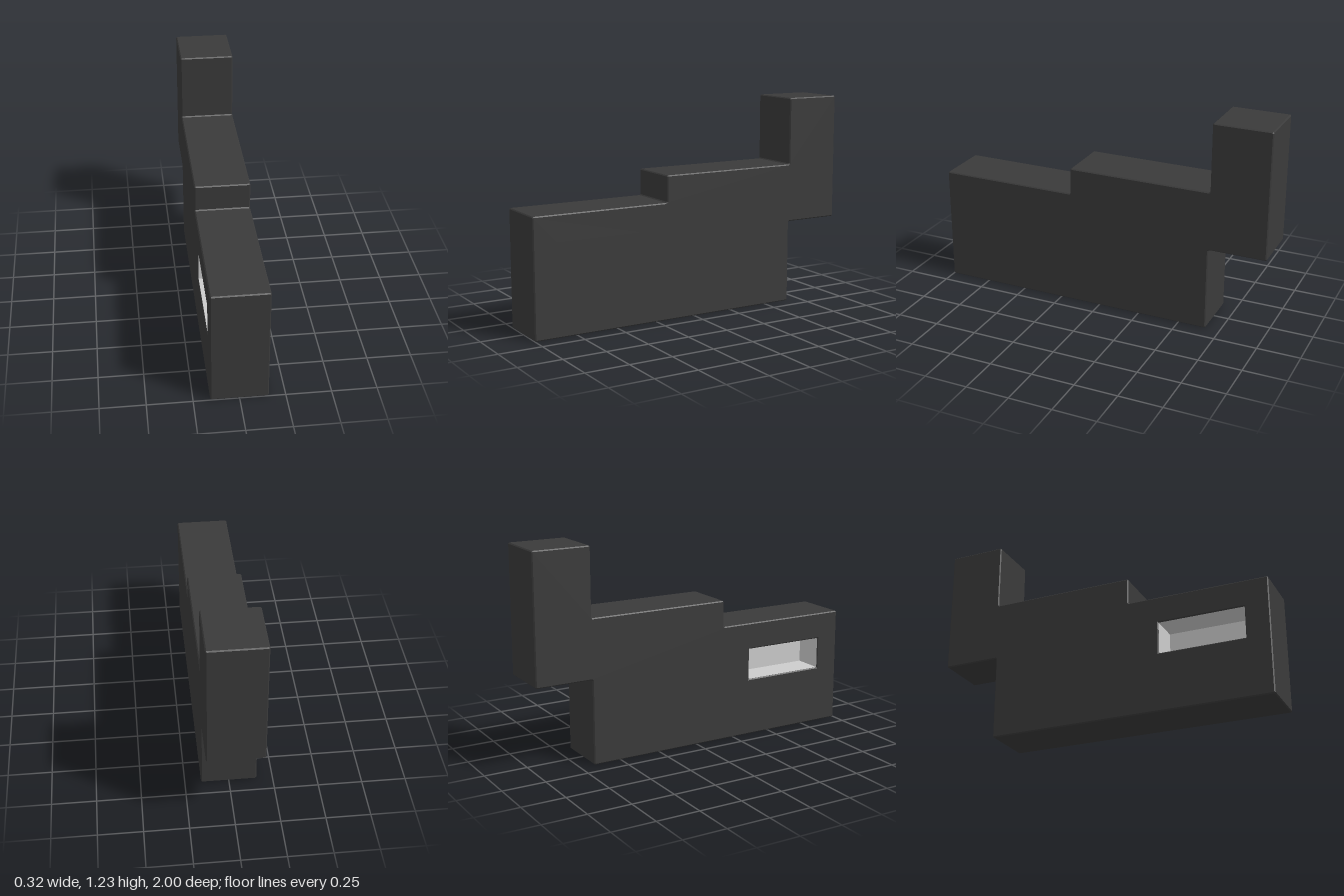
import * as THREE from 'three';

const HALF_W = 0.158; // half width along x
const EDGE = 0.006;   // small chamfer on all edges

// Recess cut into the right (-x) side
const recess = { z0: 0.36, z1: 0.86, y0: 0.34, y1: 0.525, floorX: 0.015 };

// Cuts every corner of a closed [z, y] outline by the distance d
function chamferedOutline(points, d) {
  const out = [];
  points.forEach((p, i) => {
    const corner = new THREE.Vector2(...p);
    const prev = new THREE.Vector2(...points[(i + points.length - 1) % points.length]);
    const next = new THREE.Vector2(...points[(i + 1) % points.length]);
    for (const other of [prev, next]) {
      out.push(other.sub(corner).setLength(d).add(corner));
    }
  });
  return out;
}

// Box spanning the recess in y and z, grown by g, between two x positions
function recessBox(x0, x1, g) {
  const { z0, z1, y0, y1 } = recess;
  const geo = new THREE.BoxGeometry(x1 - x0, y1 - y0 + 2 * g, z1 - z0 + 2 * g);
  geo.translate((x0 + x1) / 2, (y0 + y1) / 2, (z0 + z1) / 2);
  return geo;
}

export function createModel() {
  const group = new THREE.Group();
  const dark = new THREE.MeshStandardMaterial({ color: 0x3a3a3a });
  const grey = new THREE.MeshStandardMaterial({ color: 0xcccccc, side: THREE.BackSide });

  const add = (name, geometry, material) => {
    const mesh = new THREE.Mesh(geometry, material);
    mesh.name = name;
    group.add(mesh);
  };

  // Stepped body with a raised rear block that overhangs the back
  const outline = [
    [1, 0], [1, 0.68], [0.18, 0.68], [0.18, 0.835], [-0.665, 0.835], [-0.665, 1.23],
    [-1, 1.23], [-1, 0.49], [-0.665, 0.49], [-0.665, 0],
  ];
  const shape = new THREE.Shape(chamferedOutline(outline, EDGE));
  const { z0, z1, y0, y1, floorX } = recess;
  shape.holes.push(new THREE.Path([
    new THREE.Vector2(z0, y0), new THREE.Vector2(z1, y0),
    new THREE.Vector2(z1, y1), new THREE.Vector2(z0, y1),
  ]));
  const depth = 2 * (HALF_W - EDGE);
  const body = new THREE.ExtrudeGeometry(shape, {
    depth, bevelEnabled: true, bevelSegments: 1,
    bevelSize: EDGE, bevelThickness: EDGE, bevelOffset: -EDGE,
  });
  body.translate(0, 0, -depth / 2).rotateY(-Math.PI / 2);
  add('body', body, dark);

  // Solid left side behind the recess
  add('recessBacking', recessBox(floorX + 0.002, HALF_W, EDGE), dark);

  // Light recess lining, open towards -x (second face of the box removed)
  const lining = recessBox(-HALF_W + 0.002, floorX, -0.002);
  const index = Array.from(lining.index.array);
  index.splice(6, 6);
  lining.setIndex(index);
  lining.clearGroups();
  add('recessLining', lining, grey);

  return group;
}
